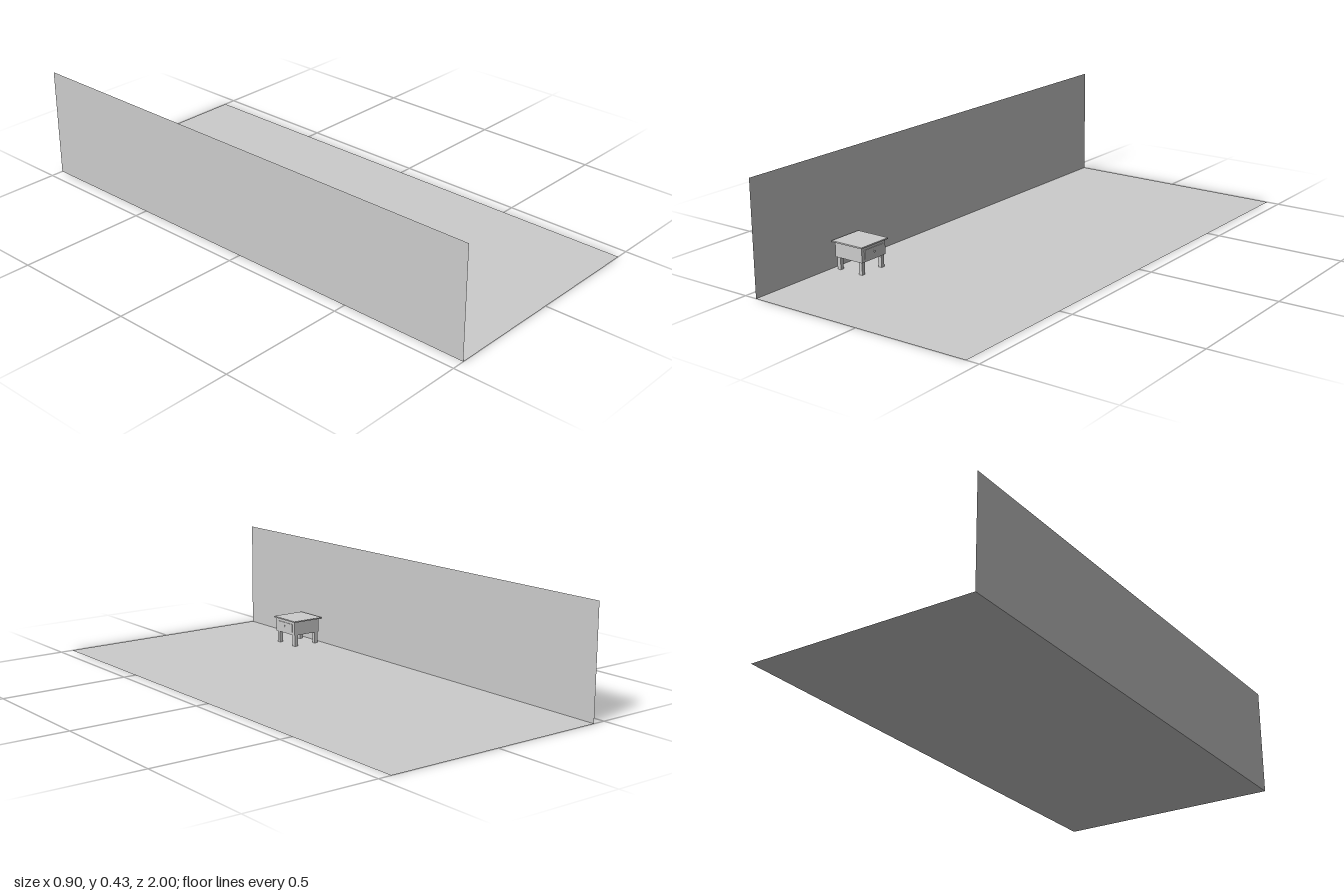
import * as THREE from 'three';

export function createModel() {
  const root = new THREE.Group();
  const surface = new THREE.MeshStandardMaterial({ color: 0xcccccc, side: THREE.DoubleSide });
  const solid = new THREE.MeshStandardMaterial({ color: 0xcccccc, flatShading: true });

  const add = (parent, name, geometry, material, x, y, z) => {
    const mesh = new THREE.Mesh(geometry, material);
    mesh.name = name;
    mesh.position.set(x, y, z);
    parent.add(mesh);
    return mesh;
  };
  const box = (parent, name, w, h, d, x, y, z) =>
    add(parent, name, new THREE.BoxGeometry(w, h, d), solid, x, y, z);

  // Room: thin floor and one side wall
  add(root, 'floor', new THREE.PlaneGeometry(0.9, 2).rotateX(-Math.PI / 2), surface, 0, 0, 0);
  add(root, 'wall', new THREE.PlaneGeometry(2, 0.425).rotateY(Math.PI / 2), surface, -0.45, 0.2125, 0);

  // Bedside table, its drawer facing +x
  const table = new THREE.Group();
  table.name = 'bedsideTable';
  table.position.set(-0.371, 0, 0.562);
  root.add(table);

  box(table, 'tableTop', 0.141, 0.005, 0.141, 0, 0.1055, 0);
  box(table, 'cabinet', 0.125, 0.056, 0.125, 0.001, 0.075, 0);
  box(table, 'drawerFront', 0.003, 0.034, 0.098, 0.065, 0.075, 0);

  // Small round drawer knob
  add(table, 'drawerKnob', new THREE.CylinderGeometry(0.005, 0.003, 0.004, 12).rotateZ(-Math.PI / 2),
    solid, 0.068, 0.077, 0.002);

  // Four square legs
  for (const sx of [-1, 1]) {
    for (const sz of [-1, 1]) {
      box(table, 'leg', 0.015, 0.047, 0.015, 0.001 + sx * 0.051, 0.0235, sz * 0.051);
    }
  }
  return root;
}
